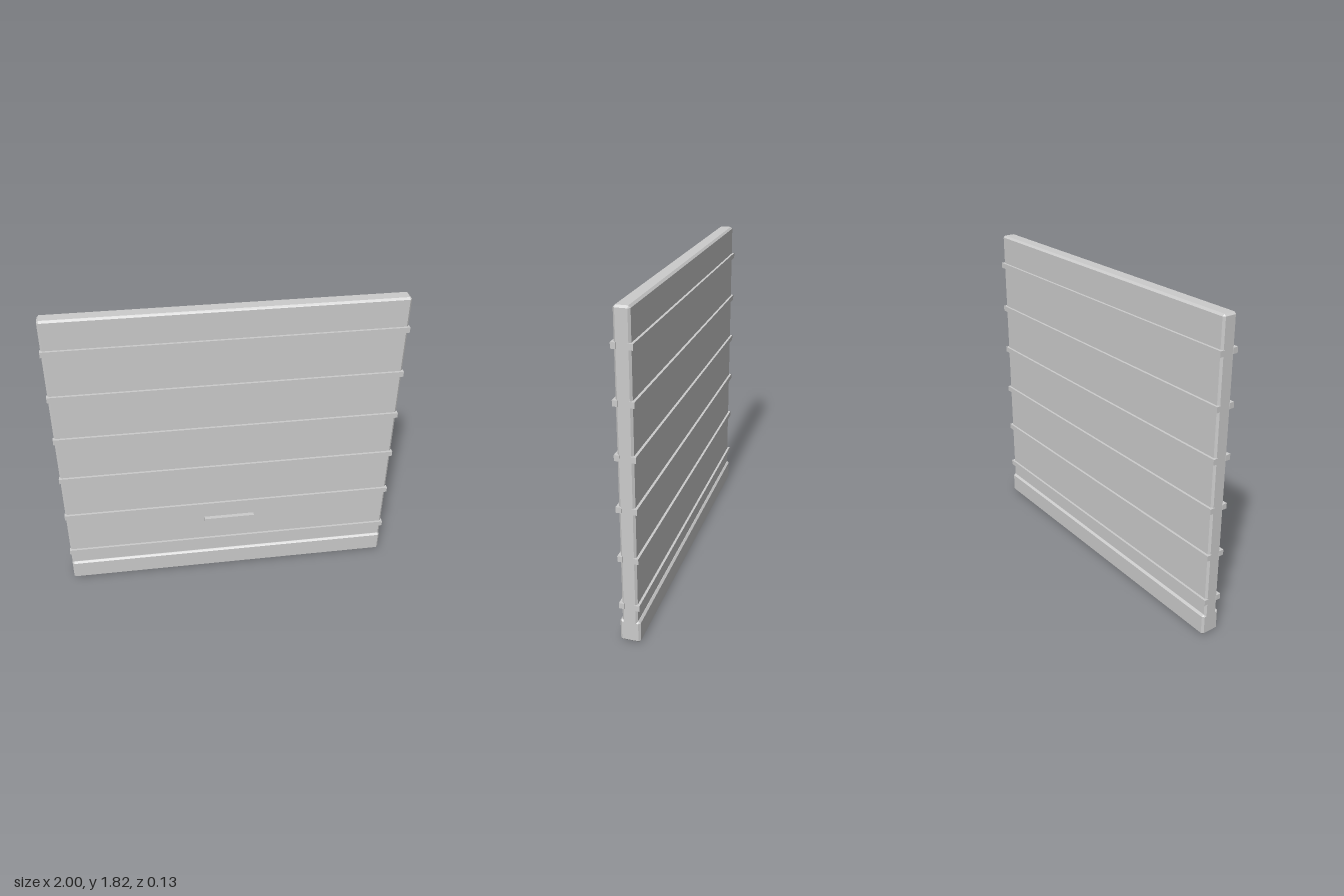
import * as THREE from 'three';
import { ConvexGeometry } from 'three/addons/geometries/ConvexGeometry.js';

// Box with every edge and corner chamfered by c
function chamferBox(w, h, d, c) {
  const half = [w / 2, h / 2, d / 2];
  const points = [];
  for (const sx of [-1, 1]) for (const sy of [-1, 1]) for (const sz of [-1, 1]) {
    for (let full = 0; full < 3; full++) {
      const p = half.map((v, i) => (i === full ? v : v - c));
      points.push(new THREE.Vector3(sx * p[0], sy * p[1], sz * p[2]));
    }
  }
  return new ConvexGeometry(points);
}

export function createModel() {
  const group = new THREE.Group();
  const material = new THREE.MeshStandardMaterial({ color: 0xcccccc, flatShading: true });
  const midZ = -0.01;

  function add(name, geometry, x, y, z) {
    const mesh = new THREE.Mesh(geometry, material);
    mesh.name = name;
    mesh.position.set(x, y, z);
    group.add(mesh);
  }

  // Main door slab
  add('doorPanel', chamferBox(1.99, 1.81, 0.085, 0.011), 0, 0.92, midZ);

  // Thicker sill along the bottom
  add('bottomSeal', chamferBox(1.99, 0.13, 0.112, 0.011), 0, 0.065, midZ);

  // Horizontal ribs, one strip on each face
  const rib = new THREE.BoxGeometry(2, 0.032, 0.028);
  for (let i = 0; i < 6; i++) {
    const y = 0.219 + i * 0.2835;
    add('frontRib' + (i + 1), rib, 0, y, midZ + 0.042);
    add('backRib' + (i + 1), rib, 0, y, midZ - 0.042);
  }

  // Pull handle on the front
  add('handle', new THREE.BoxGeometry(0.306, 0.032, 0.024), 0, 0.396, 0.054);

  return group;
}
